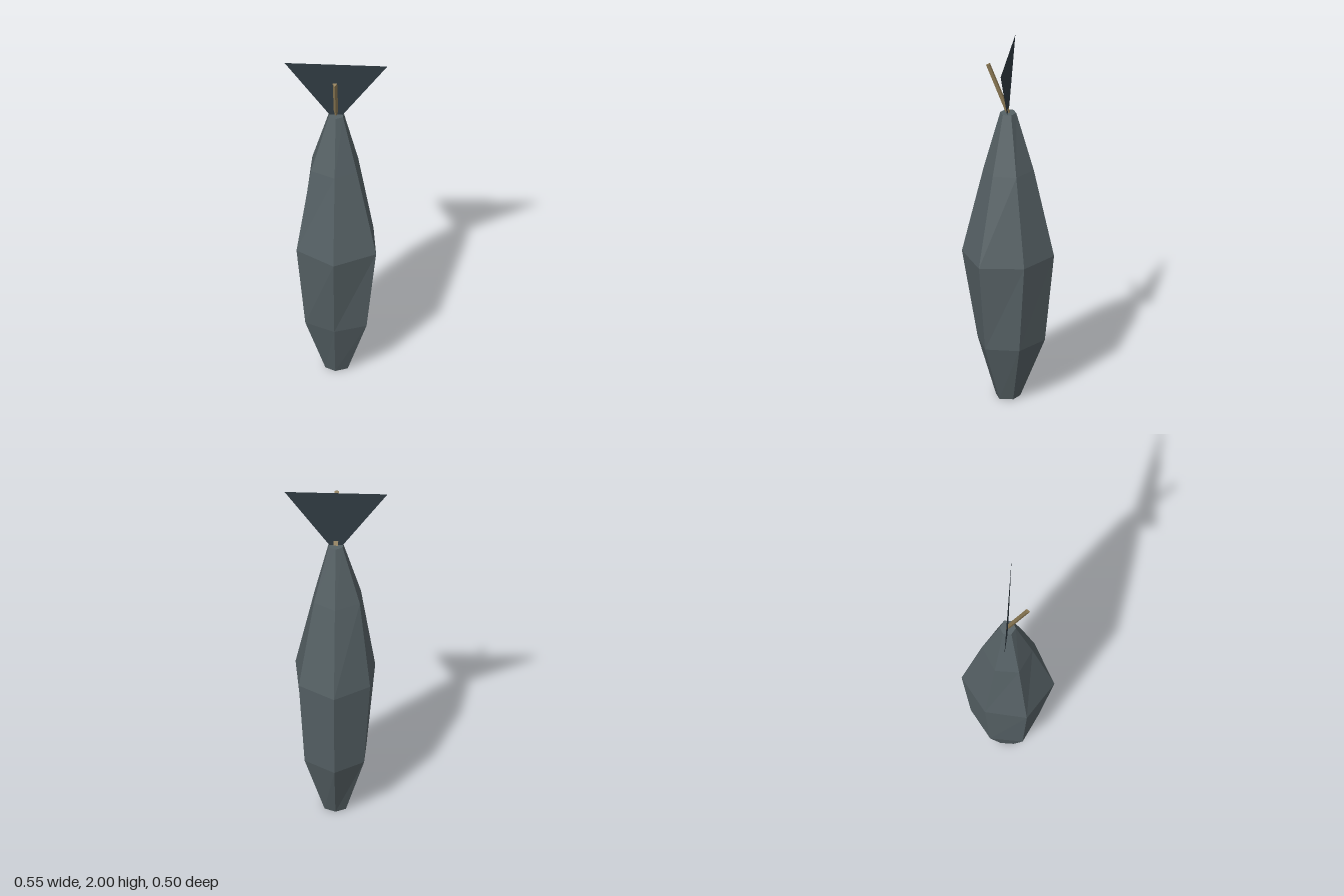
import * as THREE from 'three';

// Hexagonal cross-sections, bottom to top: height, then x,z corners from the front round by the left
const RINGS = [
  [0, [[0, 0.065], [0.065, 0.037], [0.06, -0.037], [0, -0.067], [-0.055, -0.035], [-0.055, 0.035]]],
  [0.335, [[0, 0.165], [0.17, 0.1], [0.165, -0.085], [0, -0.2], [-0.155, -0.085], [-0.16, 0.09]]],
  [0.835, [[0, 0.25], [0.223, 0.126], [0.195, -0.116], [0, -0.25], [-0.188, -0.111], [-0.206, 0.116]]],
  [1.335, [[0, 0.132], [0.116, 0.066], [0.116, -0.062], [0, -0.14], [-0.131, -0.062], [-0.131, 0.069]]],
  [1.667, [[0, 0.042], [0.039, 0.022], [0.039, -0.023], [0, -0.045], [-0.037, -0.024], [-0.037, 0.021]]],
];

// Joins the cross-sections with flat facets and closes both ends
function loft(rings) {
  const positions = [];
  const point = (i, j) => {
    const [y, corners] = rings[i];
    const [x, z] = corners[j % corners.length];
    return [x, y, z];
  };
  const tri = (a, b, c) => positions.push(...a, ...b, ...c);
  const sides = rings[0][1].length;
  const last = rings.length - 1;
  for (let j = 0; j < sides; j++) {
    for (let i = 0; i < last; i++) {
      tri(point(i, j), point(i, j + 1), point(i + 1, j + 1));
      tri(point(i, j), point(i + 1, j + 1), point(i + 1, j));
    }
    tri([0, rings[0][0], 0], point(0, j + 1), point(0, j));
    tri([0, rings[last][0], 0], point(last, j), point(last, j + 1));
  }
  const geometry = new THREE.BufferGeometry();
  geometry.setAttribute('position', new THREE.Float32BufferAttribute(positions, 3));
  geometry.computeVertexNormals();
  return geometry;
}

export function createModel() {
  const model = new THREE.Group();
  const slate = new THREE.MeshStandardMaterial({ name: 'slate grey', color: 0x566165, flatShading: true });
  const dark = new THREE.MeshStandardMaterial({
    name: 'dark blue grey', color: 0x2f3a42, flatShading: true, side: THREE.DoubleSide,
  });
  const tan = new THREE.MeshStandardMaterial({ name: 'tan', color: 0x8f7c57, flatShading: true });

  const add = (name, geometry, material) => {
    const mesh = new THREE.Mesh(geometry, material);
    mesh.name = name;
    model.add(mesh);
    return mesh;
  };

  // Faceted spindle body
  add('body', loft(RINGS), slate);

  // Flat flared fan on top
  const fan = new THREE.Shape([[-0.036, 1.667], [0.036, 1.667], [0.277, 2], [-0.277, 2]]
    .map(([x, y]) => new THREE.Vector2(x, y)));
  add('topFan', new THREE.ShapeGeometry(fan), dark);

  // Three-sided stalk leaning forward
  const stalk = add('stalk', new THREE.CylinderGeometry(0.014, 0.014, 0.3, 3), tan);
  stalk.position.set(0, 1.806, 0.052);
  stalk.rotation.x = 0.373;

  return model;
}
